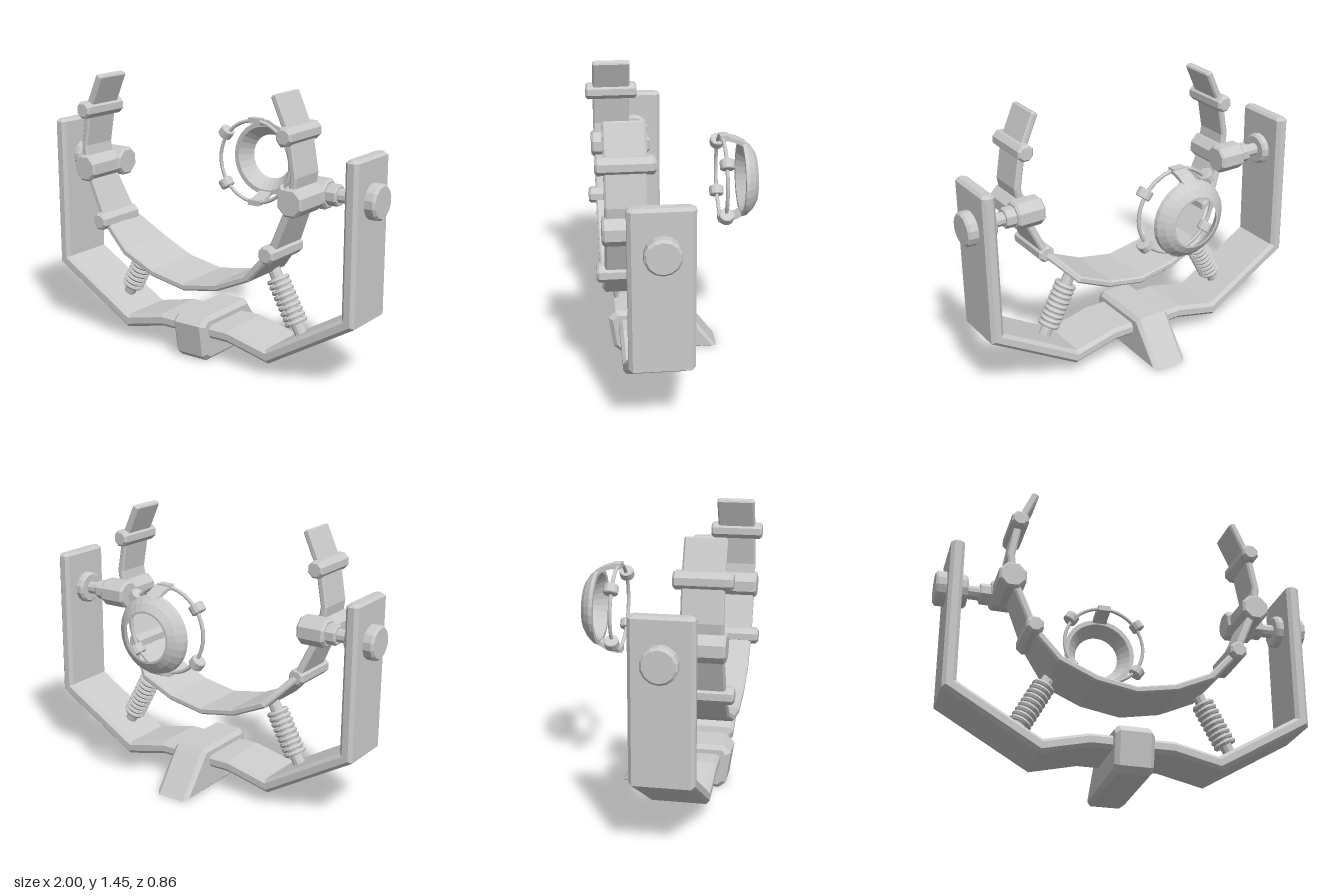
import * as THREE from 'three';

const flat = new THREE.MeshStandardMaterial({ color: 0xcccccc, flatShading: true });
const smooth = new THREE.MeshStandardMaterial({ color: 0xcccccc, side: THREE.DoubleSide });
const V = (x, y, z) => new THREE.Vector3(x, y, z);

function add(parent, name, geometry, material = flat) {
  const mesh = new THREE.Mesh(geometry, material);
  mesh.name = name;
  parent.add(mesh);
  return mesh;
}

// Bar from a to b with chamfered ends
function bar(parent, name, a, b, r, sides, chamfer = 0.01) {
  const len = a.distanceTo(b);
  const profile = [[0, 0], [r - chamfer, 0], [r, chamfer], [r, len - chamfer], [r - chamfer, len], [0, len]];
  const geo = new THREE.LatheGeometry(profile.map(p => new THREE.Vector2(...p)), sides);
  geo.rotateY(Math.PI / sides);
  const mesh = add(parent, name, geo);
  mesh.position.copy(a);
  mesh.quaternion.setFromUnitVectors(V(0, 1, 0), b.clone().sub(a).normalize());
  return mesh;
}

// Flat strap bent along half-path [x, y, zBack], mirrored about x = 0, with chamfered edges
function bentStrap(half, thick, zFront, c) {
  const path = [...half.map(([x, y, z]) => [-x, y, z]), ...half.slice(0, -1).reverse()];
  const n = path.length, rings = [];
  const dir = (i) => new THREE.Vector2(path[i + 1][0] - path[i][0], path[i + 1][1] - path[i][1]).normalize();
  const ring = (i, inset, shift) => {
    const d0 = dir(Math.max(i - 1, 0)), d1 = dir(Math.min(i, n - 2));
    const t = d0.clone().add(d1).normalize();
    const miter = 1 / t.dot(d1);
    const h = thick / 2 - inset, zb = path[i][2] + inset, zf = zFront - inset;
    const section = [[h, zb + c], [h, zf - c], [h - c, zf], [c - h, zf], [-h, zf - c], [-h, zb + c], [c - h, zb], [h - c, zb]];
    rings.push(section.map(([o, z]) => [
      path[i][0] - t.y * o * miter + t.x * shift, path[i][1] + t.x * o * miter + t.y * shift, z]));
  };
  const e = c * 0.8;
  ring(0, e, 0);
  ring(0, 0, e);
  for (let i = 1; i < n - 1; i++) ring(i, 0, 0);
  ring(n - 1, 0, -e);
  ring(n - 1, e, 0);
  const pos = [];
  for (let i = 0; i < rings.length - 1; i++) {
    for (let k = 0; k < 8; k++) {
      const j = (k + 1) % 8, A = rings[i], B = rings[i + 1];
      pos.push(...A[k], ...A[j], ...B[j], ...A[k], ...B[j], ...B[k]);
    }
  }
  const first = rings[0], last = rings[rings.length - 1];
  for (let k = 1; k < 7; k++) {
    pos.push(...first[0], ...first[k + 1], ...first[k]);
    pos.push(...last[0], ...last[k], ...last[k + 1]);
  }
  const geo = new THREE.BufferGeometry();
  geo.setAttribute('position', new THREE.Float32BufferAttribute(pos, 3));
  geo.computeVertexNormals();
  return geo;
}

function buildSide(s) {
  const side = new THREE.Group();
  side.name = s > 0 ? 'leftFittings' : 'rightFittings';
  const y = 0.955, z = 0.146;

  // Pivot axle through the outer frame
  const axle = [
    ['axleCap', 0.93, 1.0, 0.09, 14, 0.012], ['axleWasher', 0.835, 0.885, 0.087, 14, 0.012],
    ['axleShaft', 0.75, 0.85, 0.036, 10, 0.004], ['axleCollar', 0.7, 0.77, 0.055, 8, 0.006],
    ['axleSocket', 0.56, 0.715, 0.078, 8, 0.012],
  ];
  for (const [name, x0, x1, r, n, c] of axle) bar(side, name, V(s * x0, y, z), V(s * x1, y, z), r, n, c);
  bar(side, 'pivotBoss', V(s * 0.642, 0.95, 0.18), V(s * 0.642, 0.95, 0.405), 0.075, 8, 0.012);

  // Studs clamped across the cradle
  bar(side, 'upperStud', V(s * 0.62, 1.265, 0.145), V(s * 0.62, 1.265, 0.43), 0.047, 8, 0.012);
  bar(side, 'lowerStud', V(s * 0.527, 0.68, 0.145), V(s * 0.527, 0.68, 0.43), 0.047, 8, 0.012);

  // Spring strut
  const a = V(s * 0.395, 0.525, 0.15), b = V(s * 0.57, 0.2, 0.15);
  bar(side, 'springRod', a, b, 0.032, 10, 0.002);
  const axis = b.clone().sub(a).normalize();
  for (let i = 0; i < 9; i++) {
    const coil = add(side, 'springCoil', new THREE.TorusGeometry(0.048, 0.0135, 6, 18));
    coil.position.lerpVectors(a, b, 0.17 + i * 0.078);
    coil.quaternion.setFromUnitVectors(V(0, 0, 1), axis);
  }
  return side;
}

function buildSight() {
  const sight = new THREE.Group();
  sight.name = 'rearSight';
  sight.position.set(0, 0.95, 0);

  // Domed eyepiece, open in the middle
  const profile = [[0.178, 0.355], [0.204, 0.355], [0.2, 0.375], [0.17, 0.408], [0.135, 0.43], [0.124, 0.43], [0.14, 0.405], [0.178, 0.355]];
  const dome = new THREE.LatheGeometry(profile.map(p => new THREE.Vector2(...p)), 28);
  dome.rotateX(-Math.PI / 2);
  add(sight, 'eyepiece', dome.toNonIndexed(), new THREE.MeshStandardMaterial({ color: 0xcccccc, flatShading: true, side: THREE.DoubleSide }));

  // Wire hoop with four beads
  add(sight, 'wireHoop', new THREE.TorusGeometry(0.226, 0.01, 8, 40), smooth).position.z = -0.255;
  for (const sx of [1, -1]) for (const sy of [1, -1]) {
    const c = V(sx * 0.19, sy * 0.142, -0.255);
    const t = V(-sy * 0.6, sx * 0.8, 0).multiplyScalar(0.025);
    bar(sight, 'bead', c.clone().sub(t), c.clone().add(t), 0.039, 12, 0.005);
  }

  // Curved arms joining the hoop to the eyepiece
  for (const sy of [1, -1]) {
    const shape = new THREE.Shape();
    const pts = [[0.375, 0.198], [0.33, 0.222], [0.28, 0.236], [0.28, 0.216], [0.33, 0.2], [0.365, 0.178]];
    shape.setFromPoints(pts.map(([z, r]) => new THREE.Vector2(z, r)));
    const arm = new THREE.ExtrudeGeometry(shape, { depth: 0.078, bevelEnabled: false });
    arm.translate(0, 0, -0.039).rotateY(Math.PI / 2);
    if (sy < 0) arm.rotateZ(Math.PI);
    add(sight, 'sightArm', arm);
    const clip = add(sight, 'armClip', new THREE.BoxGeometry(0.07, 0.03, 0.045));
    clip.position.set(0, sy * 0.227, -0.262);
  }
  return sight;
}

export function createModel() {
  const model = new THREE.Group();
  model.name = 'cradleMount';

  // Outer yoke and inner cradle
  const zb = -0.01;
  add(model, 'outerYoke', bentStrap(
    [[0.91, 1.17, zb], [0.91, 0.375, zb], [0.452, 0.105, zb], [0.215, 0.16, zb], [0, 0.16, zb]], 0.07, 0.305, 0.018));
  add(model, 'innerCradle', bentStrap(
    [[0.537, 1.45, 0.185], [0.62, 1.265, 0.185], [0.654, 1.07, 0.185], [0.634, 0.93, 0.185],
      [0.527, 0.68, 0.145], [0.39, 0.53, 0.05], [0.205, 0.447, 0.05], [0, 0.41, 0.05]], 0.038, 0.39, 0.009));

  // Foot block: side profile extruded across x
  const bevel = 0.022;
  const profile = [[-0.3, 0], [0.23, 0], [0.05, 0.24], [-0.32, 0.24], [-0.36, 0.2], [-0.335, 0.03]];
  const foot = new THREE.Shape(profile.map(p => new THREE.Vector2(...p)));
  const footGeo = new THREE.ExtrudeGeometry(foot, {
    depth: 0.2 - 2 * bevel, bevelThickness: bevel, bevelSize: bevel, bevelOffset: -bevel, bevelSegments: 1 });
  footGeo.translate(0, 0, bevel - 0.1).rotateY(Math.PI / 2);
  add(model, 'footBlock', footGeo);

  model.add(buildSide(1), buildSide(-1), buildSight());
  return model;
}
